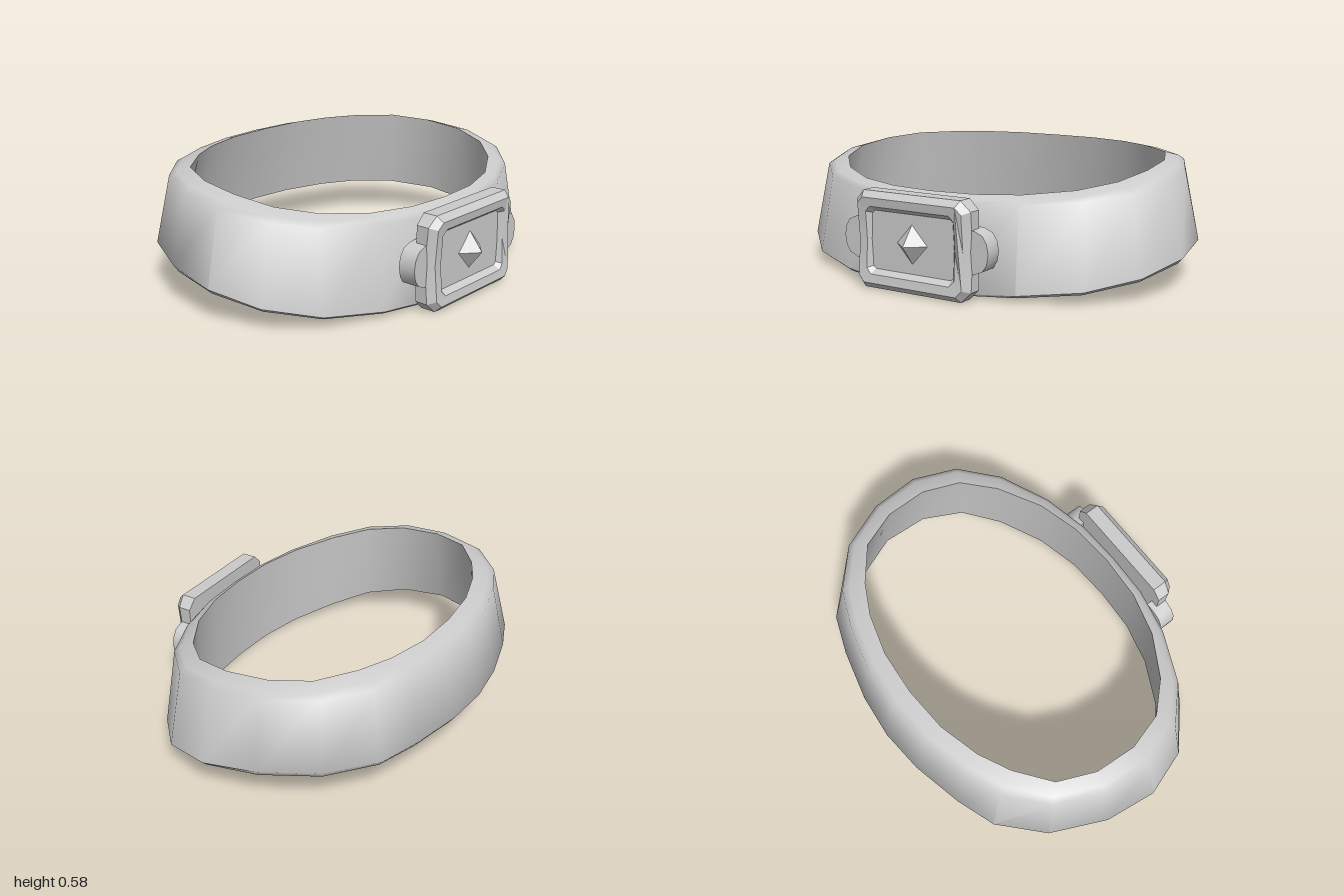
import * as THREE from 'three';
import { toCreasedNormals } from 'three/addons/utils/BufferGeometryUtils.js';

const grey = new THREE.MeshStandardMaterial({ color: 0xcccccc });

function part(name, geometry) {
  const mesh = new THREE.Mesh(geometry, grey);
  mesh.name = name;
  return mesh;
}

// Half of the band from back to front: outer x, z; inner x, z; bottom y; top y
const STATIONS = [
  [0, -0.785, 0, -0.605, 0.19, 0.587],
  [0.22, -0.765, 0.22, -0.59, 0.19, 0.588],
  [0.47, -0.705, 0.42, -0.535, 0.188, 0.588],
  [0.66, -0.635, 0.57, -0.46, 0.183, 0.586],
  [0.85, -0.455, 0.73, -0.335, 0.175, 0.58],
  [0.97, -0.19, 0.805, -0.155, 0.158, 0.567],
  [1.0, 0.07, 0.815, 0.05, 0.132, 0.547],
  [0.92, 0.31, 0.76, 0.235, 0.092, 0.515],
  [0.73, 0.49, 0.63, 0.375, 0.05, 0.485],
  [0.46, 0.6, 0.43, 0.495, 0.025, 0.465],
  [0.22, 0.645, 0.22, 0.555, 0.013, 0.457],
  [0, 0.65, 0, 0.57, 0.01, 0.455],
];

// Closed loop of wedge-shaped cross-sections, lower edge flared outward
function bandGeometry() {
  const mirrored = STATIONS.slice(1, -1).reverse().map(([ox, oz, ix, ...rest]) => [-ox, oz, -ix, ...rest]);
  const loop = [...STATIONS, ...mirrored];
  const positions = [], index = [];
  const n = 6;
  loop.forEach(([ox, oz, ix, iz, b, t], i) => {
    const back = (0.65 - oz) / 1.435; // 0 at the front, 1 at the back
    const lip = 0.015 + 0.03 * Math.min(1, back * 1.7);
    const flare = 0.15 + 0.32 * Math.min(1, back * 1.7);
    const section = [ // share of the way from inner to outer, height
      [0, t],
      [0.4, t - 0.018],
      [0.58, t - 0.038],
      [1, b + lip],
      [0.87, b + lip * 0.3],
      [flare, b],
    ];
    section.forEach(([f, y]) => positions.push(ix + (ox - ix) * f, y, iz + (oz - iz) * f));
    const next = (i + 1) % loop.length;
    for (let j = 0; j < n; j++) {
      const k = (j + 1) % n;
      const a = i * n + j, c = next * n + j, d = next * n + k, e = i * n + k;
      index.push(a, c, d, a, d, e);
    }
  });
  const geometry = new THREE.BufferGeometry();
  geometry.setAttribute('position', new THREE.Float32BufferAttribute(positions, 3));
  geometry.setIndex(index);
  return toCreasedNormals(geometry, 0.95);
}

// Rectangle with clipped corners, around the buckle centre
const CY = 0.235;
function clippedRect(w, h, c) {
  return [
    [w, 0], [w, h - c], [w - c, h], [0, h], [c - w, h], [-w, h - c],
    [-w, 0], [-w, c - h], [c - w, -h], [0, -h], [w - c, -h], [w, c - h],
  ].map(([x, y]) => new THREE.Vector2(x, y + CY));
}

// Bevelled frame with a window; its face bows forward at top and bottom
function frameGeometry() {
  const shape = new THREE.Shape(clippedRect(0.28, 0.195, 0.03));
  shape.holes.push(new THREE.Path(clippedRect(0.238, 0.155, 0.025).reverse()));
  const geometry = new THREE.ExtrudeGeometry(shape, {
    depth: 0.055, bevelEnabled: true, bevelSize: 0.028, bevelThickness: 0.035, bevelSegments: 1,
  });
  geometry.translate(0, 0, 0.65);
  const p = geometry.attributes.position;
  for (let i = 0; i < p.count; i++) {
    let z = Math.max(0.65, p.getZ(i));
    if (z > 0.7) z += 0.022 * ((p.getY(i) - CY) / 0.21) ** 2 - 0.008;
    p.setZ(i, z);
  }
  return toCreasedNormals(geometry, 0.4);
}

// Rounded ear at the side of the buckle
function lugGeometry(side) {
  const outline = [[0.27, -0.1], [0.32, -0.095], [0.36, -0.078], [0.382, -0.045], [0.39, 0]];
  const lower = outline.map(([x, y]) => new THREE.Vector2(side * x, CY + y));
  const upper = outline.slice(0, -1).reverse().map(([x, y]) => new THREE.Vector2(side * x, CY - y));
  const geometry = new THREE.ExtrudeGeometry(new THREE.Shape([...lower, ...upper]), { depth: 0.085, bevelEnabled: false });
  geometry.translate(0, 0, 0.62);
  return toCreasedNormals(geometry, 0.7);
}

export function createModel() {
  const model = new THREE.Group();
  model.name = 'belt';
  model.add(part('band', bandGeometry()));

  const buckle = new THREE.Group();
  buckle.name = 'buckle';
  buckle.add(part('buckleFrame', frameGeometry()));

  const panel = new THREE.BoxGeometry(0.46, 0.33, 0.065);
  panel.translate(0, CY, 0.6825);
  buckle.add(part('bucklePanel', panel));

  buckle.add(part('leftLug', lugGeometry(1)), part('rightLug', lugGeometry(-1)));

  // Diamond stud in the middle of the panel
  const stud = toCreasedNormals(new THREE.ConeGeometry(1, 1, 4, 1, true), 0.2);
  stud.rotateX(Math.PI / 2);
  stud.scale(0.088, 0.095, 0.075);
  stud.translate(0, CY, 0.7475);
  buckle.add(part('stud', stud));

  model.add(buckle);
  return model;
}
